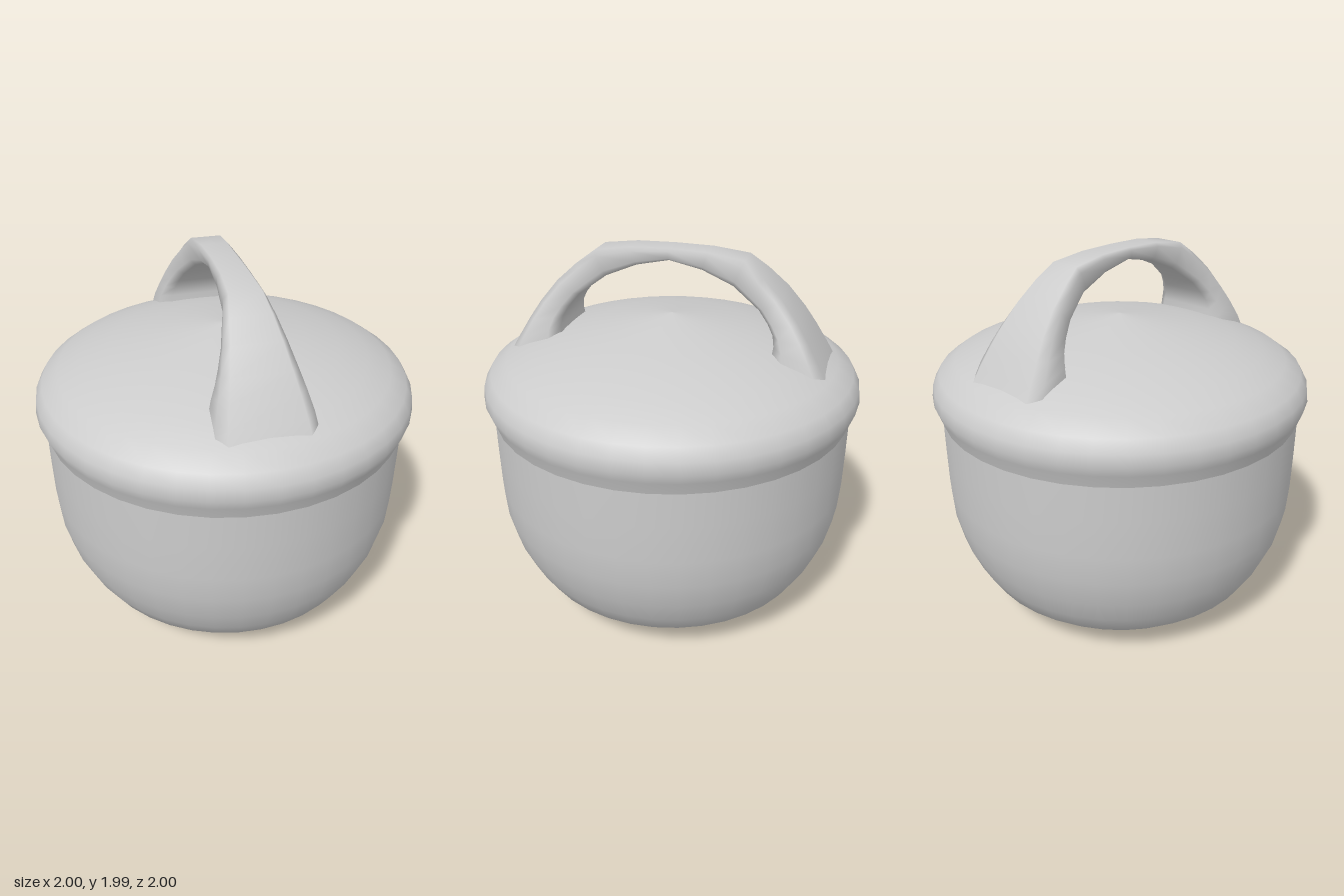
import * as THREE from 'three';

const material = new THREE.MeshStandardMaterial({ color: 0xcccccc });

function turned(name, profile) {
  const points = profile.map(([r, y]) => new THREE.Vector2(r, y));
  const mesh = new THREE.Mesh(new THREE.LatheGeometry(points, 40), material);
  mesh.name = name;
  return mesh;
}

// Arched strap: flat on top, narrow in the middle, flaring into two broad feet
function createHandle() {
  // [outer reach, outer height, inner reach, inner height, half width]
  const half = [
    [0, 1.99, 0, 1.93, 0.08], [0.2, 1.985, 0.17, 1.895, 0.085],
    [0.385, 1.96, 0.33, 1.83, 0.10], [0.48, 1.89, 0.40, 1.78, 0.125],
    [0.58, 1.80, 0.47, 1.73, 0.15], [0.67, 1.69, 0.52, 1.67, 0.18],
    [0.73, 1.60, 0.55, 1.62, 0.205], [0.79, 1.50, 0.56, 1.57, 0.23],
    [0.86, 1.38, 0.55, 1.48, 0.25],
  ];
  const mirrored = half.slice(1).reverse().map(([ro, yo, ri, yi, w]) => [-ro, yo, -ri, yi, w]);
  const stations = [...mirrored, ...half];

  // Cross-section: [across, depth from outer to inner face]
  const ring = [[0.8, 0], [-0.8, 0], [-1, 0.2], [-0.95, 0.8], [-0.7, 1], [0.7, 1], [0.95, 0.8], [1, 0.2]];
  const n = ring.length;
  const positions = [];
  const indices = [];
  stations.forEach(([ro, yo, ri, yi, w], i) => {
    ring.forEach(([s, t], k) => {
      positions.push(s * w, yo + (yi - yo) * t, ro + (ri - ro) * t);
      if (i === stations.length - 1) return;
      const a = i * n + k;
      const b = i * n + (k + 1) % n;
      indices.push(a, b, b + n, a, b + n, a + n);
    });
  });
  const geometry = new THREE.BufferGeometry();
  geometry.setAttribute('position', new THREE.Float32BufferAttribute(positions, 3));
  geometry.setIndex(indices);
  geometry.computeVertexNormals();

  const handle = new THREE.Mesh(geometry, material);
  handle.name = 'handle';
  handle.rotation.y = -0.315;
  return handle;
}

export function createModel() {
  const group = new THREE.Group();
  group.name = 'lidded pot';

  // Rounded bowl with a small flat base
  group.add(turned('pot', [
    [0, 0], [0.3, 0.005], [0.45, 0.02], [0.58, 0.06], [0.70, 0.13], [0.79, 0.21],
    [0.855, 0.32], [0.91, 0.45], [0.945, 0.6], [0.955, 0.75], [0.957, 0.95], [0.957, 1.18],
  ]));

  // Shallow conical lid with a rounded overhanging rim
  group.add(turned('lid', [
    [0.95, 1.11], [0.962, 1.15], [0.98, 1.2], [0.998, 1.25], [0.99, 1.31], [0.955, 1.37],
    [0.87, 1.43], [0.75, 1.48], [0.6, 1.53], [0.42, 1.57], [0.2, 1.61], [0, 1.64],
  ]));

  group.add(createHandle());
  return group;
}
